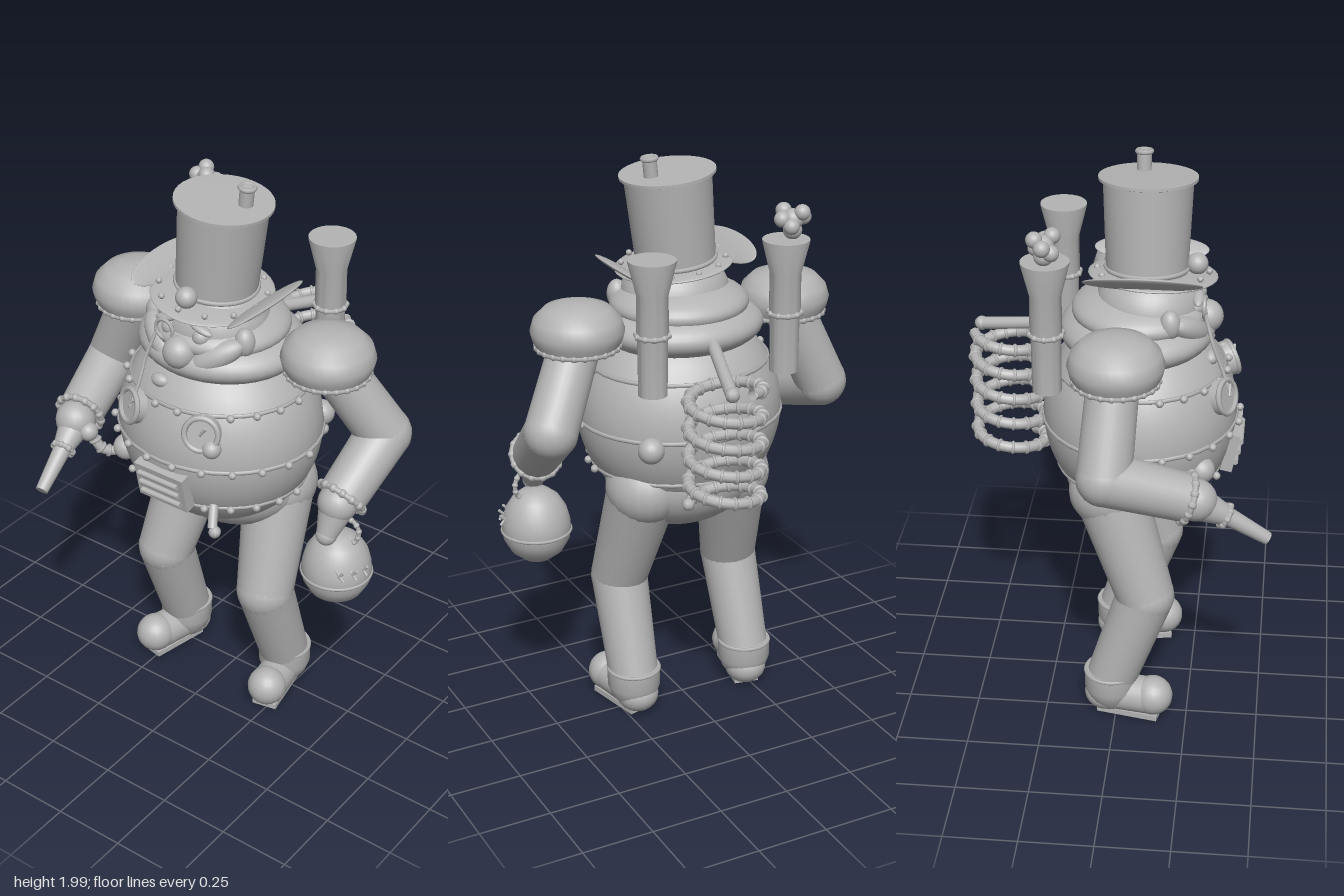
import * as THREE from 'three';
import { toCreasedNormals } from 'three/addons/utils/BufferGeometryUtils.js';

const metal = new THREE.MeshStandardMaterial({ color: 0xb4b4b4, side: THREE.DoubleSide });
metal.name = 'plain grey';
const V = (a) => new THREE.Vector3(...a);
const UP = new THREE.Vector3(0, 1, 0);
const FRONT = new THREE.Vector3(0, 0, 1);

export function createModel() {
  const root = new THREE.Group();
  root.name = 'steamMan';

  const add = (name, geo, p = [0, 0, 0], parent = root) => {
    const m = new THREE.Mesh(geo, metal);
    m.name = name;
    m.position.set(...p);
    parent.add(m);
    return m;
  };
  // Sphere or ellipsoid, with fewer sides when small
  const ball = (name, p, r, parent) => {
    const s = Array.isArray(r) ? r : [r, r, r];
    const size = Math.max(...s);
    const n = size > 0.15 ? 36 : size > 0.025 ? 20 : 8;
    const m = add(name, new THREE.SphereGeometry(1, n, Math.round(n * 0.7)), p, parent);
    m.scale.set(...s);
    return m;
  };
  // Round bar between two points
  const rod = (name, a, b, ra, rb = ra, parent) => {
    const d = V(b).sub(V(a));
    const mid = V(a).add(V(b)).multiplyScalar(0.5).toArray();
    const m = add(name, new THREE.CylinderGeometry(rb, ra, d.length(), 28), mid, parent);
    m.quaternion.setFromUnitVectors(UP, d.normalize());
    return m;
  };
  const ring = (name, p, R, r, axis = [0, 1, 0], parent) => {
    const m = add(name, new THREE.TorusGeometry(R, r, 6, R < 0.03 ? 14 : 36), p, parent);
    m.quaternion.setFromUnitVectors(FRONT, V(axis).normalize());
    return m;
  };
  const lathe = (name, pts, p, parent) =>
    add(name, toCreasedNormals(new THREE.LatheGeometry(pts.map((q) => new THREE.Vector2(...q)), 36), 0.7), p, parent);
  const tube = (name, pts, r, n = 40) =>
    add(name, new THREE.TubeGeometry(new THREE.CatmullRomCurve3(pts.map(V)), n, r, 8));
  // Ring with beads set around it
  const beadRing = (name, p, R, r, axis, n = 12) => {
    const g = new THREE.Group();
    g.name = name;
    g.position.set(...p);
    g.quaternion.setFromUnitVectors(UP, V(axis).normalize());
    root.add(g);
    ring(name + 'Band', [0, 0, 0], R, r, [0, 1, 0], g);
    for (let i = 0; i < n; i++) {
      const t = (i / n) * Math.PI * 2;
      ball(name + 'Bead', [R * Math.cos(t), 0, R * Math.sin(t)], r * 1.35, g);
    }
  };

  // Belly, pelvis and collar
  const C = [-0.02, 1.1, 0.06], B = [0.36, 0.36, 0.33];
  const bellyWidth = (y) => Math.sqrt(1 - ((y - C[1]) / B[1]) ** 2);
  const onBelly = (t, y, out) => [
    C[0] + Math.sin(t) * (B[0] * bellyWidth(y) + out), y,
    C[2] + Math.cos(t) * (B[2] * bellyWidth(y) + out)];
  ball('belly', C, B);
  ball('pelvis', [-0.01, 0.88, 0.02], [0.28, 0.19, 0.22]);
  ball('collar', [-0.02, 1.41, 0.05], [0.29, 0.1, 0.26]);
  ball('neckDome', [-0.02, 1.48, 0.06], [0.24, 0.08, 0.23]);
  for (const y of [1.28, 1.09, 0.92]) {
    const band = ring('bellyBand', [C[0], y, C[2]], 1, 0.016);
    band.rotation.set(Math.PI / 2, 0, 0);
    band.scale.set(B[0] * bellyWidth(y), B[2] * bellyWidth(y), 0.5);
    for (let i = 0; i < 12; i++) ball('rivet', onBelly(-1.55 + (i * 3.1) / 11, y, 0.012), 0.014);
  }

  // Belly fittings
  const grate = new THREE.Group();
  grate.name = 'grate';
  grate.position.set(-0.02, 0.99, 0.375);
  grate.rotation.x = 0.2;
  root.add(grate);
  add('gratePlate', new THREE.BoxGeometry(0.2, 0.14, 0.04), [0, 0, 0], grate);
  for (const y of [-0.04, 0, 0.04])
    rod('grateSlat', [-0.08, y, 0.025], [0.08, y, 0.025], 0.01, 0.01, grate);
  for (const x of [-0.16, 0.115]) {
    const t = Math.asin((x - C[0]) / 0.33);
    const a = onBelly(t, 1.225, -0.02), b = onBelly(t, 1.235, 0.025);
    rod('gauge', a, b, 0.062);
    ring('gaugeRim', b, 0.056, 0.01, [Math.sin(t), 0.25, Math.cos(t)]);
    rod('gaugeNeedle', [b[0], b[1], b[2] + 0.008], [b[0] + 0.025, b[1] + 0.035, b[2] + 0.008], 0.005);
  }
  ball('gaugeKnob', [0.16, 1.185, 0.35], 0.032);
  ball('frontKnob', [-0.255, 1.0, 0.285], 0.045);
  ball('backKnob', [0.22, 1.07, -0.2], 0.045);
  rod('tap', [0.13, 0.94, 0.3], [0.16, 0.87, 0.35], 0.016);
  ball('tapEnd', [0.17, 0.86, 0.35], 0.022);

  // Head and face
  ball('head', [-0.02, 1.5, 0.09], [0.19, 0.15, 0.18]);
  ball('nose', [-0.02, 1.455, 0.28], 0.056);
  ball('mouth', [-0.085, 1.335, 0.3], [0.034, 0.024, 0.024]);
  for (const s of [-1, 1]) {
    const m = ball('moustache', [-0.02 + s * 0.11, 1.455, 0.23], [0.105, 0.045, 0.05]);
    m.rotation.set(0, s * 0.5, s * 0.5);
    ball('moustacheTip', [-0.02 + s * 0.18, 1.5, 0.17], [0.035, 0.05, 0.035]);
    ball('eye', [-0.02 + s * 0.062, 1.515, 0.245], 0.03);
    const brow = ball('eyebrow', [-0.02 + s * 0.07, 1.55, 0.255], [0.045, 0.013, 0.018]);
    brow.rotation.z = -s * 0.25;
  }
  ring('monocle', [-0.085, 1.515, 0.275], 0.034, 0.007, [0, 0, 1]);
  tube('monocleChain', [[-0.115, 1.5, 0.28], [-0.14, 1.4, 0.31], [-0.145, 1.32, 0.34], [-0.16, 1.24, 0.37]], 0.006);

  // Tilted top hat
  const hat = new THREE.Group();
  hat.name = 'topHat';
  hat.position.set(-0.02, 1.6, 0.08);
  hat.rotation.z = -0.1;
  root.add(hat);
  lathe('hatCrown', [[0, 0], [0.135, 0], [0.148, 0.315], [0.163, 0.32], [0.163, 0.33], [0, 0.332]], [0, 0, 0], hat);
  ring('hatBand', [0, 0.025, 0], 0.136, 0.008, [0, 1, 0], hat);
  const brim = ball('hatBrim', [0, 0, 0.02], [0.2, 0.018, 0.215], hat);
  brim.rotation.x = 0.03;
  for (let i = 0; i < 12; i++) {
    const t = (i / 12) * Math.PI * 2;
    ball('brimBead', [0.175 * Math.sin(t), 0.015, 0.02 + 0.185 * Math.cos(t)], 0.011, hat);
  }
  for (const s of [-1, 1]) {
    const w = ball('brimWing', [s * 0.195, 0.025, 0], [0.058, 0.011, 0.195], hat);
    w.rotation.z = s * 0.6;
  }
  rod('hatChimney', [0.07, 0.32, -0.02], [0.07, 0.395, -0.02], 0.024, 0.024, hat);
  ring('hatChimneyRim', [0.07, 0.392, -0.02], 0.024, 0.008, [0, 1, 0], hat);
  ball('hatLamp', [0, 0.04, 0.165], 0.036, hat);

  // Back smokestacks and a puff of smoke
  for (const x of [-0.267, 0.225]) {
    lathe('smokestack', [[0, 1.28], [0.048, 1.28], [0.05, 1.48], [0.053, 1.5], [0.052, 1.62], [0.079, 1.73], [0.079, 1.737], [0, 1.737]], [x, 0, -0.225]);
    beadRing('stackCollar', [x, 1.485, -0.225], 0.053, 0.008, [0, 1, 0], 10);
  }
  ball('smoke', [-0.29, 1.8, -0.225], 0.036);
  ball('smoke', [-0.29, 1.765, -0.225], 0.032);
  for (let i = 0; i < 6; i++) {
    const t = (i / 6) * Math.PI * 2;
    ball('smoke', [-0.29 + 0.04 * Math.cos(t), 1.805 + 0.025 * Math.sin(2 * t), -0.225 + 0.03 * Math.sin(t)], 0.027);
  }

  // Coiled hose with ridges behind the back
  const turns = 4.6, coil = [];
  for (let i = 0; i <= 74; i++) {
    const t = Math.PI + 0.3 + (i / 74) * turns * Math.PI * 2;
    coil.push([0.05 + 0.12 * Math.sin(t), 1.34 - (i / 74) * 0.43, -0.395 + 0.12 * Math.cos(t)]);
  }
  tube('coilHose', coil, 0.019, 220);
  for (let i = 1; i < 74; i++)
    ring('coilRidge', coil[i], 0.018, 0.006, V(coil[i + 1]).sub(V(coil[i - 1])).toArray());
  ball('coilEnd', coil[74], 0.022);
  rod('coilFeed', [-0.02, 1.41, -0.17], [0.08, 1.345, -0.49], 0.021);
  ball('coilFeedJoint', [0.08, 1.345, -0.495], 0.025);

  // Arms: shoulder cap, upper arm, elbow, forearm, cuff
  const arm = (sh, el, wr, r) => {
    lathe('shoulderCap', [[0, 0], [0.135, 0], [0.15, 0.03], [0.157, 0.06], [0.145, 0.1], [0.11, 0.135], [0.06, 0.152], [0, 0.157]], [sh[0], 1.395, 0.015]);
    beadRing('shoulderRim', [sh[0], 1.4, 0.015], 0.136, 0.009, [0, 1, 0], 24);
    rod('upperArm', sh, el, 0.085, 0.09);
    ball('elbow', el, 0.091);
    rod('forearm', el, wr, 0.09, r);
    beadRing('cuff', wr, r, 0.011, V(wr).sub(V(el)).toArray(), 14);
  };
  arm([-0.405, 1.44, 0.01], [-0.55, 1.12, -0.01], [-0.49, 1.03, 0.25], 0.08);
  arm([0.38, 1.44, 0.01], [0.535, 1.16, -0.1], [0.505, 1.0, 0.1], 0.082);

  // Nozzle hand on the right arm
  ball('nozzleBase', [-0.485, 1.02, 0.28], 0.07);
  rod('nozzleCone', [-0.483, 1.01, 0.28], [-0.465, 0.955, 0.38], 0.06, 0.034);
  beadRing('nozzleCollar', [-0.465, 0.955, 0.375], 0.036, 0.009, [0.02, -0.07, 0.12], 8);
  rod('nozzle', [-0.465, 0.955, 0.38], [-0.447, 0.865, 0.515], 0.031, 0.022);
  ball('nozzleKnob', [-0.42, 1.0, 0.29], 0.034);
  const hose = [[-0.44, 0.98, 0.26], [-0.4, 0.91, 0.24], [-0.36, 0.9, 0.19], [-0.34, 0.95, 0.14], [-0.3, 1.0, 0.12]];
  tube('handHose', hose, 0.018);
  const hosePath = new THREE.CatmullRomCurve3(hose.map(V));
  for (let i = 1; i < 9; i++)
    ring('handHoseRidge', hosePath.getPoint(i / 9).toArray(), 0.018, 0.006, hosePath.getTangent(i / 9).toArray());

  // Gripping left hand and the round bag
  ball('hand', [0.5, 0.985, 0.115], 0.068);
  rod('handCone', [0.5, 0.98, 0.115], [0.492, 0.88, 0.165], 0.065, 0.035);
  ball('fingertips', [0.492, 0.88, 0.165], 0.036);
  beadRing('bagHandle', [0.53, 0.89, 0.125], 0.055, 0.008, [0.3, 0, 1], 14);
  lathe('bag', [[0, -0.12], [0.05, -0.11], [0.09, -0.078], [0.114, -0.035], [0.119, 0], [0.117, 0.03], [0.105, 0.075], [0.08, 0.115], [0.045, 0.142], [0, 0.148]], [0.505, 0.722, 0.117]);
  ring('bagSeam', [0.505, 0.717, 0.117], 0.118, 0.006);
  for (const t of [0.1, 0.5, 0.9])
    for (const d of [-1, 1]) {
      const c = [0.505 + 0.112 * Math.cos(t), 0.77, 0.117 + 0.112 * Math.sin(t)];
      rod('stitch', [c[0] - 0.016, c[1] - d * 0.018, c[2]], [c[0] + 0.016, c[1] + d * 0.018, c[2]], 0.005);
    }

  // Legs and boots
  for (const [s, hip, knee, ankle] of [
    [-1, [-0.18, 0.86, -0.03], [-0.24, 0.48, 0.1], [-0.245, 0.13, -0.02]],
    [1, [0.165, 0.86, -0.03], [0.2, 0.48, 0.1], [0.205, 0.13, -0.02]],
  ]) {
    ball('hip', hip, [0.13, 0.13, 0.14]);
    rod('thigh', hip, knee, 0.125, 0.1);
    ball('knee', knee, 0.101);
    rod('shin', knee, ankle, 0.1, 0.088);
    const boot = new THREE.Group();
    boot.name = 'boot';
    boot.position.set(ankle[0], 0, ankle[2]);
    boot.rotation.y = s * 0.2;
    root.add(boot);
    lathe('bootCuff', [[0, 0.02], [0.05, 0.02], [0.08, 0.06], [0.094, 0.1], [0.094, 0.165], [0.08, 0.168]], [0, 0, 0], boot);
    ring('bootCuffRim', [0, 0.162, 0], 0.09, 0.007, [0, 1, 0], boot);
    rod('bootFoot', [0, 0.07, -0.01], [0, 0.076, 0.15], 0.066, 0.066, boot);
    ball('bootToe', [0, 0.08, 0.155], 0.07, boot);
    ball('bootHeel', [0, 0.065, -0.02], [0.075, 0.065, 0.075], boot);
    add('bootSole', new THREE.BoxGeometry(0.09, 0.02, 0.22), [0, 0.01, 0.07], boot);
  }
  return root;
}
